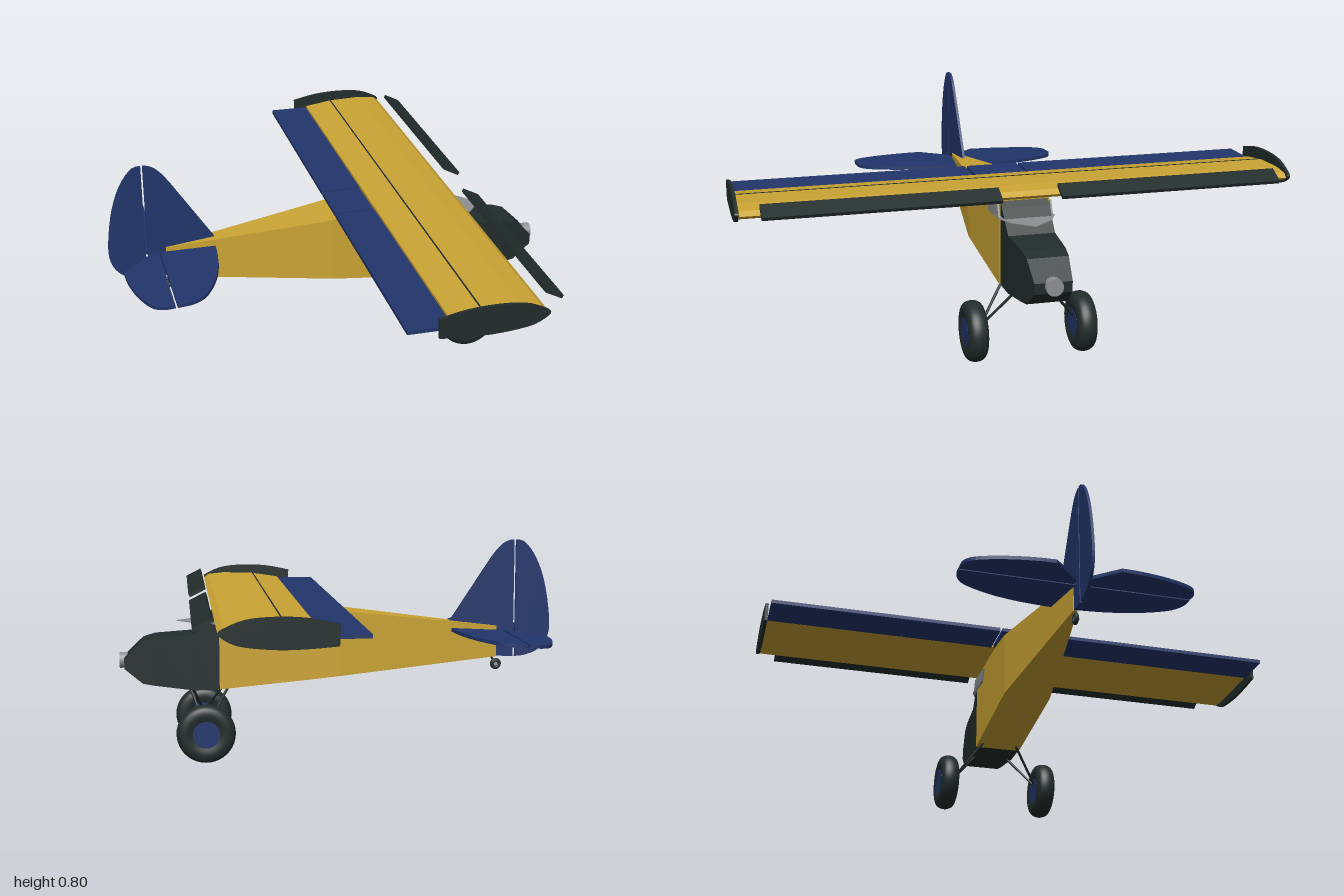
import * as THREE from 'three';

const mat = (name, color) => {
  const m = new THREE.MeshStandardMaterial({ color, side: THREE.DoubleSide });
  m.name = name;
  return m;
};

export function createModel() {
  const root = new THREE.Group();
  root.name = 'bushPlane';
  const yellow = mat('yellow', 0xcba434), blue = mat('navy', 0x22366c);
  const black = mat('charcoal', 0x222d2c), grey = mat('grey', 0x8e8f93);

  const add = (name, geo, material, parent = root) => {
    const m = new THREE.Mesh(geo, material);
    m.name = name;
    parent.add(m);
    return m;
  };
  const box = (name, x0, x1, y0, y1, z0, z1, material) => {
    const m = add(name, new THREE.BoxGeometry(x1 - x0, y1 - y0, z1 - z0), material);
    m.position.set((x0 + x1) / 2, (y0 + y1) / 2, (z0 + z1) / 2);
    return m;
  };
  const outline = (points) => new THREE.Shape(points.map((p) => new THREE.Vector2(...p)));
  const smooth = (points, n = 28) =>
    new THREE.SplineCurve(points.map((p) => new THREE.Vector2(...p))).getPoints(n).map((v) => [v.x, v.y]);
  // Plate drawn in the x-y plane, centred on z
  const plate = (points, depth, z = 0) =>
    new THREE.ExtrudeGeometry(outline(points), { depth, bevelEnabled: false }).translate(0, 0, z - depth / 2);
  // Plate drawn in the x-z plane, centred on y
  const flat = (points, depth, y) => plate(points, depth).rotateX(Math.PI / 2).translate(0, y, 0);
  const rod = (name, a, b, r, material) => {
    const p = new THREE.Vector3(...a), q = new THREE.Vector3(...b);
    const m = add(name, new THREE.CylinderGeometry(r, r, p.distanceTo(q), 8), material);
    m.position.copy(p).add(q).multiplyScalar(0.5);
    m.quaternion.setFromUnitVectors(new THREE.Vector3(0, 1, 0), q.sub(p).normalize());
  };
  // Box-section loft from [x, bottom, top, half width]
  const loft = (sections) => {
    const pos = [], idx = [];
    for (const [x, b, t, w] of sections) pos.push(x, b, w, x, t, w, x, t, -w, x, b, -w);
    const last = (sections.length - 1) * 4;
    for (let i = 0; i < last; i += 4)
      for (let k = 0; k < 4; k++) {
        const a = i + k, b = i + (k + 1) % 4;
        idx.push(a, a + 4, b, b, a + 4, b + 4);
      }
    idx.push(0, 1, 2, 0, 2, 3, last, last + 2, last + 1, last, last + 3, last + 2);
    let g = new THREE.BufferGeometry();
    g.setAttribute('position', new THREE.Float32BufferAttribute(pos, 3));
    g.setIndex(idx);
    g = g.toNonIndexed();
    g.computeVertexNormals();
    return g;
  };

  // Fuselage and engine cowl
  add('fuselage', loft([
    [-0.62, 0.355, 0.475, 0.008], [0, 0.302, 0.55, 0.09], [0.12, 0.29, 0.565, 0.09],
    [0.455, 0.26, 0.57, 0.09],
  ]), yellow);
  add('engineCowl', loft([
    [0.455, 0.26, 0.565, 0.086], [0.475, 0.259, 0.545, 0.086], [0.55, 0.257, 0.466, 0.084],
    [0.695, 0.276, 0.457, 0.076], [0.74, 0.284, 0.443, 0.073], [0.805, 0.335, 0.385, 0.066],
  ].map((s, i) => (i === 5 ? [0.808, 0.34, 0.378, 0.066] : s))), black);
  const hub = add('propellerHub', new THREE.CylinderGeometry(0.03, 0.03, 0.03, 24), grey);
  hub.rotation.z = Math.PI / 2;
  hub.position.set(0.812, 0.365, 0);

  // Glazing
  add('windscreen', flat([
    [0.4, -0.1], [0.49, -0.1], [0.55, -0.072], [0.61, 0], [0.55, 0.072], [0.49, 0.1], [0.4, 0.1],
  ], 0.003, 0.512), grey);

  // Wing with a fine seam along the top
  add('wing', plate([
    [0.16, 0.571], [0.4, 0.567], [0.465, 0.571], [0.487, 0.585], [0.467, 0.6],
    [0.4, 0.607], [0.27, 0.603], [0.16, 0.586],
  ], 1.97), yellow);
  box('wingSeam', 0.267, 0.272, 0.601, 0.6045, -0.985, 0.985, black);
  box('centreFlap', 0.006, 0.155, 0.567, 0.581, -0.096, 0.096, blue);

  const tip = smooth([
    [0.107, 0.615], [0.2, 0.634], [0.3, 0.64], [0.4, 0.632], [0.47, 0.605], [0.487, 0.587],
    [0.45, 0.56], [0.4, 0.546], [0.3, 0.537], [0.2, 0.539], [0.11, 0.546],
  ], 40);

  for (const s of [1, -1]) {
    const side = s > 0 ? 'left' : 'right';
    add(side + 'Window', plate([[0.31, 0.545], [0.455, 0.556], [0.48, 0.507], [0.335, 0.5]], 0.006, s * 0.096), grey);
    box(side + 'Flap', 0.006, 0.157, 0.567, 0.581, s * 0.545 - 0.44, s * 0.545 + 0.44, blue);
    add(side + 'WingTipPlate', plate(tip, 0.012, s * 0.994), black);
    const slat = box(side + 'Slat', 0.498, 0.566, 0.602, 0.615, s * 0.513 - 0.407, s * 0.513 + 0.407, black);
    slat.rotation.z = -0.47;

    // Main wheel with a rounded tyre
    const wheel = new THREE.Group();
    wheel.name = side + 'MainWheel';
    wheel.position.set(0.51, 0.115, s * 0.198);
    root.add(wheel);
    const tyre = smooth([
      [0.045, -0.03], [0.075, -0.036], [0.1, -0.027], [0.109, 0], [0.1, 0.027], [0.075, 0.036], [0.045, 0.03],
    ], 24).map((p) => new THREE.Vector2(...p));
    add('tyre', new THREE.LatheGeometry(tyre, 40).rotateX(Math.PI / 2), black, wheel);
    add('wheelHub', new THREE.CylinderGeometry(0.05, 0.05, 0.064, 32).rotateX(Math.PI / 2), blue, wheel);

    // Landing gear struts meeting at the axle
    const axle = [0.51, 0.13, s * 0.175];
    rod(side + 'FrontStrut', [0.565, 0.265, s * 0.065], axle, 0.005, black);
    rod(side + 'RearStrut', [0.42, 0.27, s * 0.065], axle, 0.005, black);
  }

  // Fin and rudder, separated by a hinge gap
  add('fin', plate([
    [-0.687, 0.353], [-0.687, 0.808],
    ...smooth([[-0.68, 0.808], [-0.65, 0.797], [-0.62, 0.77], [-0.59, 0.73]], 10),
    [-0.433, 0.492], [-0.433, 0.458], [-0.618, 0.452], [-0.618, 0.357],
  ], 0.01), blue);
  add('rudder', plate(smooth([
    [-0.694, 0.808], [-0.73, 0.797], [-0.775, 0.735], [-0.81, 0.635], [-0.83, 0.5],
    [-0.823, 0.43], [-0.79, 0.383], [-0.74, 0.36], [-0.694, 0.354],
  ]), 0.01), blue);

  // Tailplane and elevators, slightly nose up
  const tail = new THREE.Group();
  tail.name = 'tailplane';
  tail.position.set(-0.62, 0.452, 0);
  tail.rotation.z = 0.07;
  root.add(tail);
  const front = smooth([
    [0, 0.415], [0.04, 0.41], [0.09, 0.375], [0.14, 0.28], [0.17, 0.17], [0.183, 0.06], [0.184, 0],
  ], 20).map(([x, z]) => [x - 0.001, z]);
  const mirrored = front.slice(0, -1).reverse().map(([x, z]) => [x, -z]);
  add('stabiliser', flat([[-0.021, 0.415], ...front, ...mirrored, [-0.021, -0.415]], 0.013, 0), blue, tail);
  for (const s of [1, -1]) {
    const rear = [
      ...smooth([[-0.028, 0.415], [-0.07, 0.412], [-0.11, 0.38], [-0.145, 0.29], [-0.165, 0.19], [-0.17, 0.115]], 20),
      [-0.06, 0.012], [-0.028, 0.012],
    ].map(([x, z]) => [x, s * z]);
    add(s > 0 ? 'leftElevator' : 'rightElevator', flat(rear, 0.013, 0), blue, tail);
  }

  // Tail wheel
  add('tailTyre', new THREE.TorusGeometry(0.014, 0.008, 10, 24).translate(-0.62, 0.325, 0), black);
  add('tailHub', new THREE.CylinderGeometry(0.008, 0.008, 0.012, 16).rotateX(Math.PI / 2).translate(-0.62, 0.325, 0), grey);
  rod('tailStrut', [-0.62, 0.325, 0.01], [-0.595, 0.365, 0], 0.004, black);

  return root;
}
